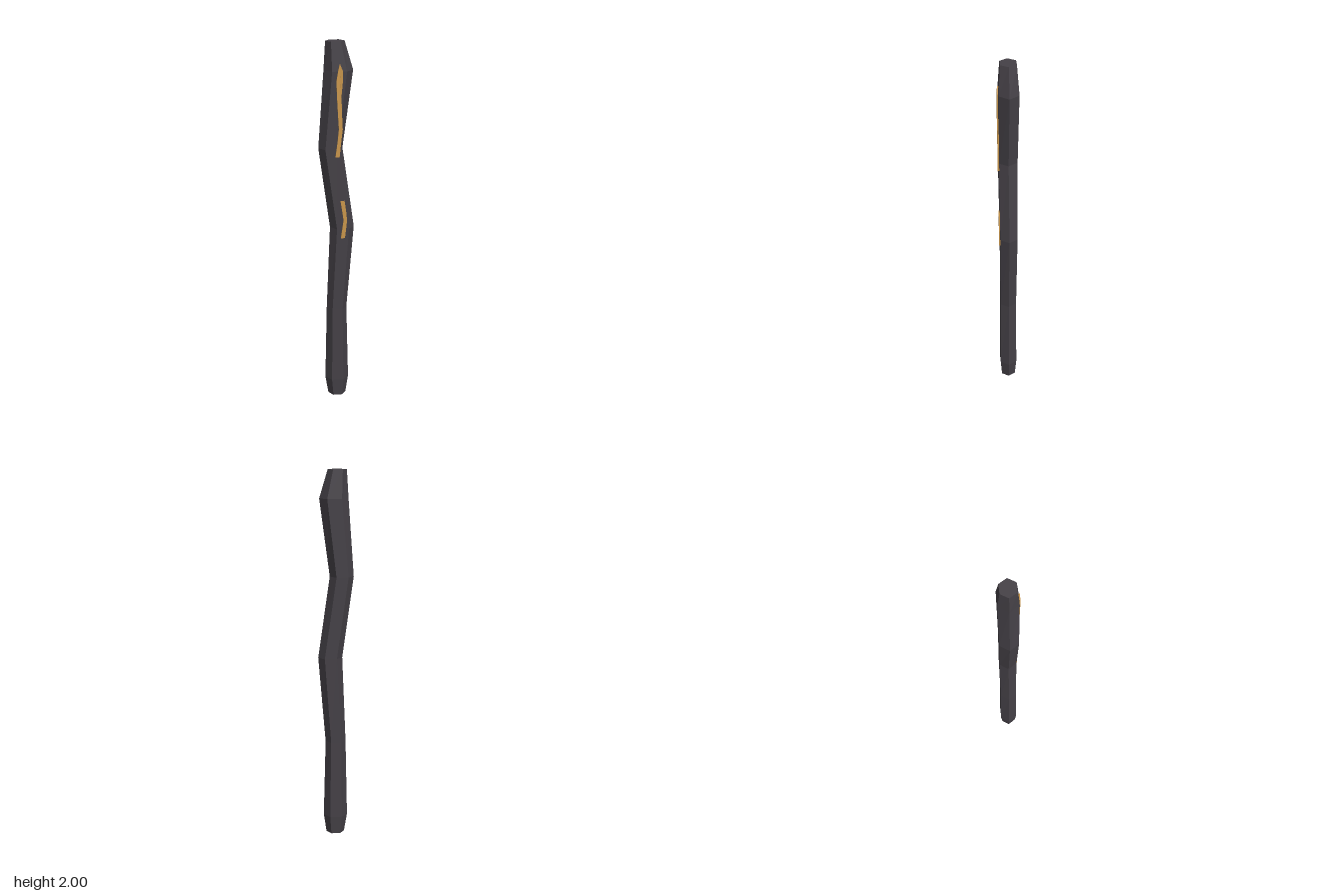
import * as THREE from 'three';

// Cross-sections of the crooked shaft: [y, centre x, half width, half depth]
const RINGS = [
  [0, 0.003, 0.049, 0.038],
  [0.1, 0.002, 0.065, 0.046],
  [0.53, 0.001, 0.055, 0.043],
  [1.0, 0.03, 0.065, 0.046],
  [1.44, -0.032, 0.064, 0.049],
  [1.85, 0.01, 0.077, 0.052],
  [2, -0.008, 0.05, 0.041],
];
const CENTRE_Z = -0.003;
const HEX = [[1, 0], [0.5, 1], [-0.5, 1], [-1, 0], [-0.5, -1], [0.5, -1]];

// Inlay outlines: [y, left x, right x]
const UPPER = [
  [1.4, -0.012, 0.01], [1.48, -0.001, 0.018], [1.55, 0.006, 0.026],
  [1.63, 0.001, 0.022], [1.72, -0.004, 0.019], [1.8, -0.007, 0.026],
  [1.85, 0.001, 0.027], [1.885, 0.009, 0.013],
];
const LOWER = [[0.95, 0.018, 0.04], [1.05, 0.032, 0.051], [1.1, 0.025, 0.046], [1.16, 0.015, 0.037]];

// Height of the front facet at a given y
function frontZ(y) {
  let i = 0;
  while (i < RINGS.length - 2 && y > RINGS[i + 1][0]) i++;
  const [a, b] = [RINGS[i], RINGS[i + 1]];
  return CENTRE_Z + THREE.MathUtils.mapLinear(y, a[0], b[0], a[3], b[3]);
}

// Six-sided shaft lofted through the rings, capped at both ends
function shaftGeometry() {
  const pos = [], index = [];
  const n = HEX.length, last = (RINGS.length - 1) * n;
  for (const [y, cx, w, d] of RINGS)
    for (const [hx, hz] of HEX) pos.push(cx + hx * w, y, CENTRE_Z + hz * d);
  for (let r = 0; r < RINGS.length - 1; r++)
    for (let k = 0; k < n; k++) {
      const a = r * n + k, b = r * n + (k + 1) % n;
      index.push(a, a + n, b, b, a + n, b + n);
    }
  for (let k = 1; k < n - 1; k++) {
    index.push(0, k, k + 1);
    index.push(last, last + k + 1, last + k);
  }
  const indexed = new THREE.BufferGeometry();
  indexed.setAttribute('position', new THREE.Float32BufferAttribute(pos, 3));
  indexed.setIndex(index);
  const geo = indexed.toNonIndexed();
  geo.computeVertexNormals(); // flat facets
  return geo;
}

// Thin jagged plate that follows the front facet
function inlayGeometry(rows) {
  const right = rows.map(([y, , x]) => new THREE.Vector2(x, y));
  const left = rows.map(([y, x]) => new THREE.Vector2(x, y)).reverse();
  const geo = new THREE.ExtrudeGeometry(new THREE.Shape([...right, ...left]), {
    depth: 0.008, bevelEnabled: false,
  });
  const p = geo.attributes.position;
  for (let i = 0; i < p.count; i++) p.setZ(i, p.getZ(i) + frontZ(p.getY(i)) - 0.002);
  geo.computeVertexNormals();
  return geo;
}

export function createModel() {
  const charcoal = new THREE.MeshStandardMaterial({ color: 0x454147 });
  charcoal.name = 'charcoal';
  const gold = new THREE.MeshStandardMaterial({ color: 0xcc984c });
  gold.name = 'gold';

  const group = new THREE.Group();
  group.name = 'crookedStaff';
  const add = (name, geo, mat) => {
    const mesh = new THREE.Mesh(geo, mat);
    mesh.name = name;
    group.add(mesh);
  };
  add('shaft', shaftGeometry(), charcoal);
  add('upperInlay', inlayGeometry(UPPER), gold);
  add('lowerInlay', inlayGeometry(LOWER), gold);
  return group;
}
